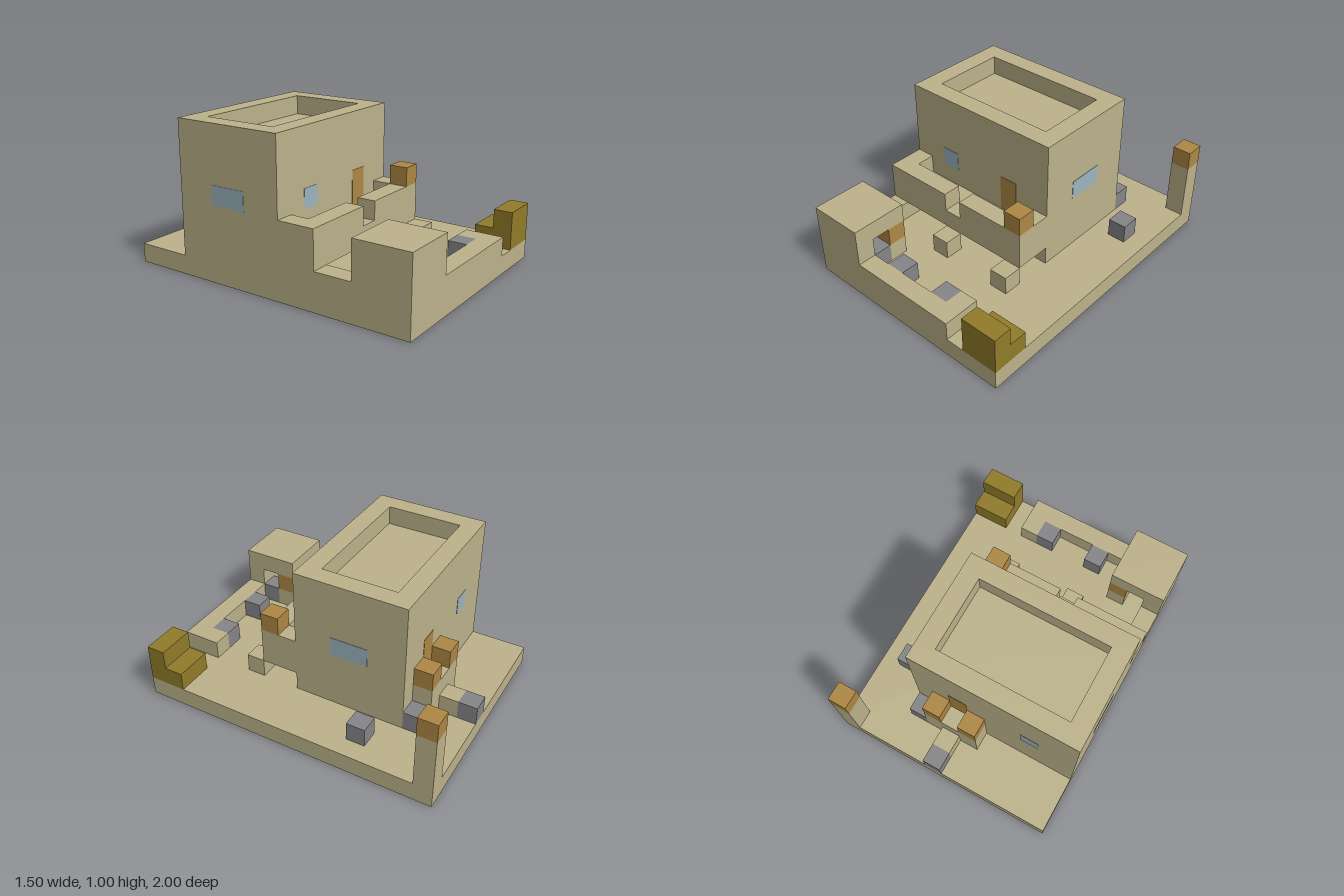
import * as THREE from 'three';

const U = 0.125; // one block
const material = (name, color) => {
  const m = new THREE.MeshStandardMaterial({ color });
  m.name = name;
  return m;
};

export function createModel() {
  const sand = material('sandstone', 0xbdb38b);
  const wood = material('wood', 0xae8844);
  const olive = material('olive', 0x917c2a);
  const stone = material('grey stone', 0x868689);
  const glass = material('window glass', 0x9cb5c0);
  const model = new THREE.Group();
  model.name = 'blockHouse';

  // Box from block coordinates: [min, max] on each axis
  function box(name, mat, [x0, x1], [y0, y1], [z0, z1], parent = model) {
    const geo = new THREE.BoxGeometry((x1 - x0) * U, (y1 - y0) * U, (z1 - z0) * U);
    const mesh = new THREE.Mesh(geo, mat);
    mesh.name = name;
    mesh.position.set((x0 + x1) / 2 * U, (y0 + y1) / 2 * U, (z0 + z1) / 2 * U);
    parent.add(mesh);
    return mesh;
  }
  const group = (name) => {
    const g = new THREE.Group();
    g.name = name;
    model.add(g);
    return g;
  };
  const rect = (target, x0, x1, y0, y1) => {
    target.moveTo(x0 * U, y0 * U).lineTo(x1 * U, y0 * U).lineTo(x1 * U, y1 * U).lineTo(x0 * U, y1 * U).closePath();
    return target;
  };

  box('base', sand, [-6, 6], [0, 1], [-8, 8]);

  // House with a raised rim around the flat roof
  const house = group('house');
  box('houseBody', sand, [-6, 3], [1, 7], [-5, 1], house);
  const rimShape = rect(new THREE.Shape(), -6, 3, -1, 5);
  rimShape.holes.push(rect(new THREE.Path(), -5, 2, 0, 4));
  const rim = new THREE.Mesh(new THREE.ExtrudeGeometry(rimShape, { depth: U, bevelEnabled: false }), sand);
  rim.name = 'roofRim';
  rim.rotation.x = -Math.PI / 2;
  rim.position.y = 7 * U;
  house.add(rim);

  // Thin doors and windows on the walls
  const T = 0.02;
  for (const z of [1, -5]) {
    const depth = z > 0 ? [z, z + T] : [z - T, z];
    box('houseDoor', wood, [0, 1], [3, 5], depth, house);
    box('endWindow', glass, [-4, -3], [4, 5], depth, house);
  }
  box('leftWindow', glass, [3, 3 + T], [4, 5], [-3, -1], house);
  box('rightWindow', glass, [-6 - T, -6], [4, 5], [-3, -1], house);

  // Terrace raised over an open space, with a gap in its parapet
  const terrace = group('terrace');
  box('terraceFloor', sand, [-6, 3], [2, 3], [1, 3], terrace);
  for (const x of [[-6, -2], [-1, 3]]) box('frontParapet', sand, x, [3, 4], [2, 3], terrace);
  for (const x of [[-6, -5], [2, 3]]) box('sideParapet', sand, x, [3, 4], [1, 2], terrace);
  box('terraceLamp', wood, [2, 3], [4, 5], [2, 3], terrace);
  for (const x of [-2, 2]) box('terraceStep', sand, [x, x + 1], [1, 2], [3, 4], terrace);

  // Yard walls
  box('rightYardWall', sand, [-6, -5], [1, 2], [1, 5]);
  box('frontYardWall', sand, [-3, 3], [1, 2], [7, 8]);
  box('yardWallEnd', sand, [2, 3], [1, 2], [6, 7]);

  // Corner hut with openings at the side and back
  const hut = group('cornerHut');
  box('hutRoof', sand, [-6, -3], [3, 4], [5, 8], hut);
  box('hutOuterWall', sand, [-6, -5], [1, 3], [5, 8], hut);
  box('hutFrontWall', sand, [-5, -3], [1, 3], [7, 8], hut);
  box('hutPost', sand, [-4, -3], [1, 2], [5, 6], hut);
  box('hutPostTop', wood, [-4, -3], [2, 3], [5, 6], hut);

  // Stair and lamp posts at the back door
  const backStair = group('backStair');
  box('upperStep', sand, [0, 1], [1, 3], [-6, -5], backStair);
  box('lowerStep', sand, [0, 1], [1, 2], [-7, -6], backStair);
  for (const x of [-1, 1]) {
    box('stairPost', sand, [x, x + 1], [1, 3], [-6, -5], backStair);
    box('stairLamp', wood, [x, x + 1], [3, 4], [-6, -5], backStair);
  }

  // Tall lamp post at the back corner
  box('lampPost', sand, [5, 6], [1, 4], [-8, -7]);
  box('postLamp', wood, [5, 6], [4, 5], [-8, -7]);

  // Stepped olive seat at the front corner
  box('seatBack', olive, [4, 6], [1, 3], [7, 8]);
  box('seatFront', olive, [4, 6], [1, 2], [6, 7]);

  // Loose stone blocks
  for (const [x, z] of [[0, -8], [2, -6], [4, -4], [-2, 6], [1, 6], [-4, 6]]) {
    box('stoneBlock', stone, [x, x + 1], [1, 2], [z, z + 1]);
  }
  return model;
}
